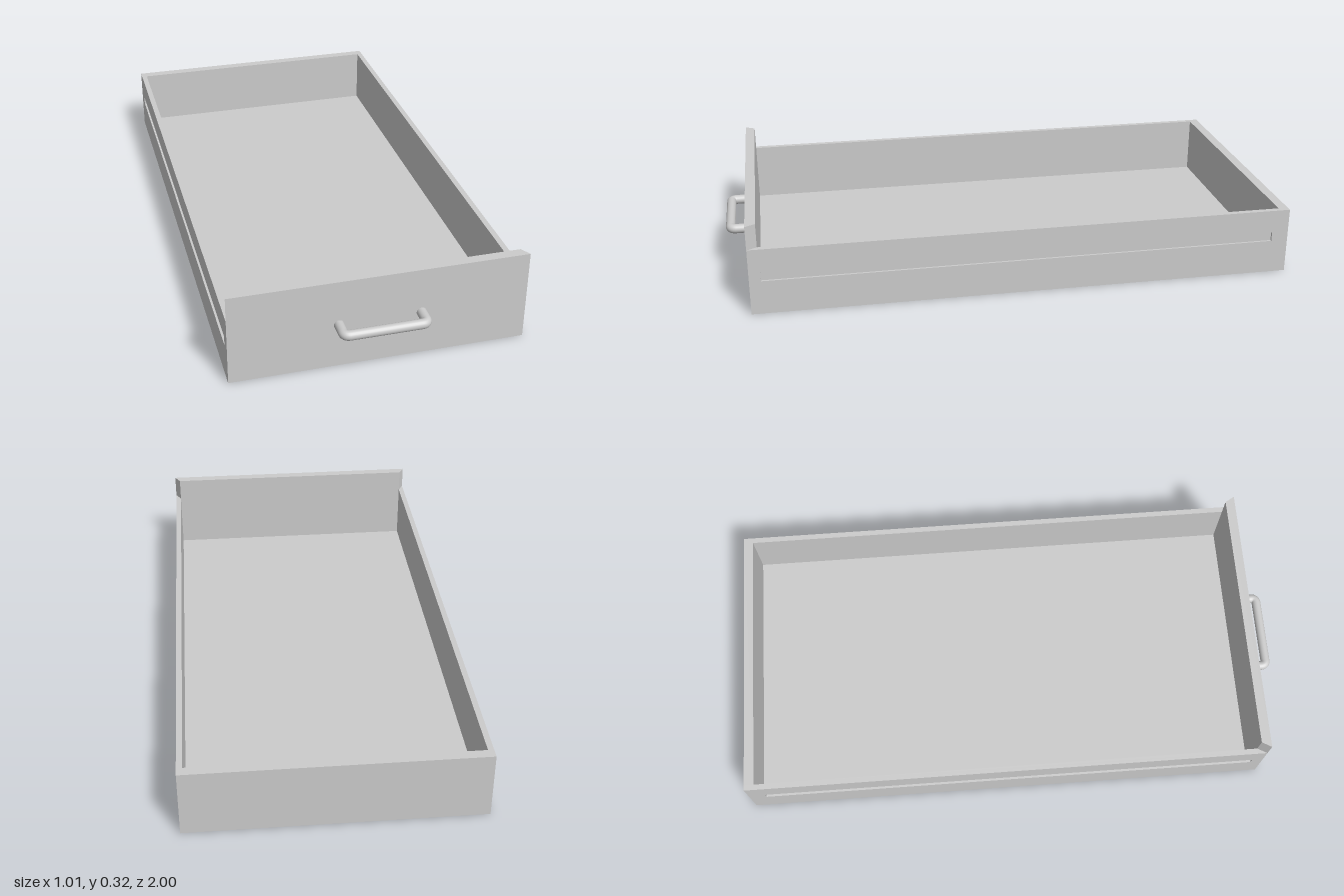
import * as THREE from 'three';

const W = 0.505;       // half width
const FRONT = 0.92;    // face of the front panel
const FRONT_IN = 0.885;
const BACK = -1;
const SIDE_H = 0.24;
const FRONT_H = 0.325;
const WALL = 0.02;
const GROOVE = 0.008;  // depth of the runner groove

export function createModel() {
  const model = new THREE.Group();
  model.name = 'drawer';
  const material = new THREE.MeshStandardMaterial({ color: 0xcccccc });

  const add = (name, geometry) => {
    const mesh = new THREE.Mesh(geometry, material);
    mesh.name = name;
    model.add(mesh);
    return mesh;
  };

  // Box given by its limits on each axis
  const box = (name, x0, x1, y0, y1, z0, z1) => {
    const mesh = add(name, new THREE.BoxGeometry(x1 - x0, y1 - y0, z1 - z0));
    mesh.position.set((x0 + x1) / 2, (y0 + y1) / 2, (z0 + z1) / 2);
  };

  // Tray
  const inner = W - WALL;
  box('floor', -inner, inner, 0, 0.03, BACK + 0.035, FRONT_IN);
  box('backWall', -inner, inner, 0, SIDE_H, BACK, BACK + 0.035);
  box('frontPanelLower', -W, W, 0, SIDE_H, FRONT_IN, FRONT);

  // Raised part of the front panel, with mitred ends
  const mitre = new THREE.Shape([
    new THREE.Vector2(-W, -FRONT),
    new THREE.Vector2(W, -FRONT),
    new THREE.Vector2(inner, -FRONT_IN),
    new THREE.Vector2(-inner, -FRONT_IN),
  ]);
  const upper = new THREE.ExtrudeGeometry(mitre, { depth: FRONT_H - SIDE_H, bevelEnabled: false });
  upper.rotateX(-Math.PI / 2).translate(0, SIDE_H, 0);
  add('frontPanelUpper', upper);

  // Side walls: an inner board and an outer skin cut by the runner groove
  const skin = new THREE.Shape([
    new THREE.Vector2(-FRONT_IN, 0),
    new THREE.Vector2(-BACK, 0),
    new THREE.Vector2(-BACK, SIDE_H),
    new THREE.Vector2(-FRONT_IN, SIDE_H),
  ]);
  skin.holes.push(new THREE.Path([
    new THREE.Vector2(-0.88, 0.122),
    new THREE.Vector2(-0.88, 0.155),
    new THREE.Vector2(0.94, 0.155),
    new THREE.Vector2(0.94, 0.122),
  ]));
  for (const [side, s] of [['left', 1], ['right', -1]]) {
    const a = s * inner, b = s * (W - GROOVE);
    box(side + 'SideBoard', Math.min(a, b), Math.max(a, b), 0, SIDE_H, BACK, FRONT_IN);
    const geometry = new THREE.ExtrudeGeometry(skin, { depth: GROOVE, bevelEnabled: false });
    geometry.rotateY(Math.PI / 2).translate(s > 0 ? W - GROOVE : -W, 0, 0);
    add(side + 'GroovedSkin', geometry);
  }

  // Handle: a round bar bent back to the panel at both ends
  const r = 0.017, hx = 0.139, hy = 0.162, hz = 1 - r, bend = 0.02;
  const p = (x, z) => new THREE.Vector3(x, hy, z);
  const path = new THREE.CurvePath();
  path.add(new THREE.LineCurve3(p(-hx, FRONT - 0.005), p(-hx, hz - bend)));
  path.add(new THREE.QuadraticBezierCurve3(p(-hx, hz - bend), p(-hx, hz), p(-hx + bend, hz)));
  path.add(new THREE.LineCurve3(p(-hx + bend, hz), p(hx - bend, hz)));
  path.add(new THREE.QuadraticBezierCurve3(p(hx - bend, hz), p(hx, hz), p(hx, hz - bend)));
  path.add(new THREE.LineCurve3(p(hx, hz - bend), p(hx, FRONT - 0.005)));
  add('handle', new THREE.TubeGeometry(path, 96, r, 20, false));

  return model;
}
